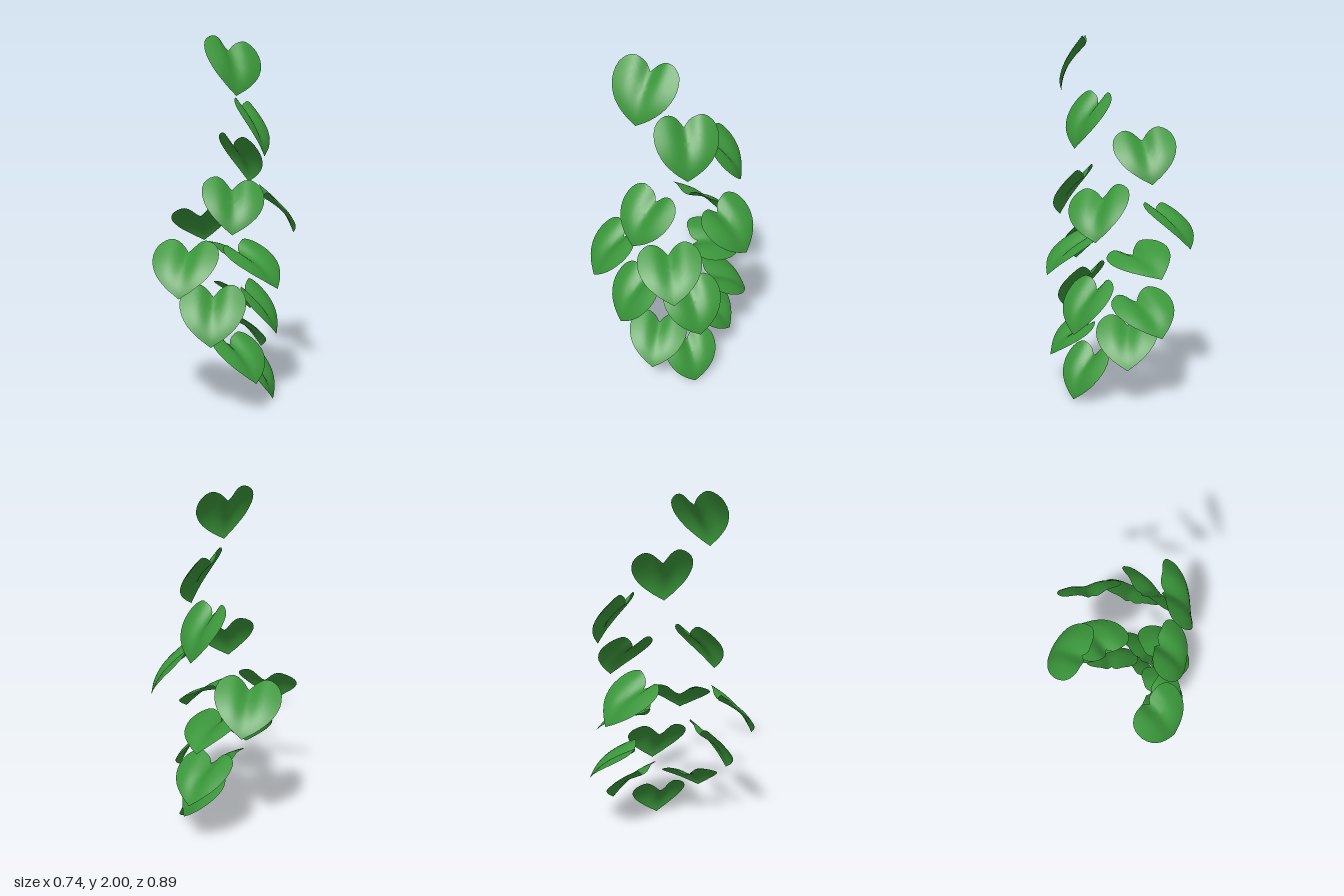
import * as THREE from 'three';

// Heart-shaped blade: tip at the origin, notch toward +y, upper face toward +z.
function heartLeafGeometry() {
  const half = [[0, 0], [0.07, 0.047], [0.133, 0.115], [0.165, 0.205], [0.15, 0.285], [0.095, 0.325], [0.04, 0.31], [0, 0.265]];
  const curve = new THREE.CatmullRomCurve3(half.map(([x, y]) => new THREE.Vector3(x, y, 0)));
  const right = curve.getPoints(20);
  const left = right.slice(1, -1).reverse().map((p) => new THREE.Vector3(-p.x, p.y, 0));
  const outline = [...right, ...left];
  const n = outline.length, rings = 8, cy = 0.18;

  // Two puffed halves with drooping tip and margins, and a valley that deepens toward the notch.
  const height = (u, v) =>
    0.037 * Math.sin(Math.PI * Math.max(0, v / 0.325) ** 0.8) - 0.6 * u * u
    - 0.045 * Math.exp(-((u / 0.05) ** 2)) * (v / 0.265);

  const pos = [0, cy, height(0, cy)], index = [];
  for (let r = 1; r <= rings; r++) {
    for (const p of outline) {
      const u = (p.x * r) / rings, v = cy + ((p.y - cy) * r) / rings;
      pos.push(u, v, height(u, v));
    }
  }
  for (let i = 0; i < n; i++) {
    const j = (i + 1) % n;
    index.push(0, 1 + i, 1 + j);
    for (let r = 1; r < rings; r++) {
      const a = 1 + (r - 1) * n, b = a + n;
      index.push(a + i, b + i, b + j, a + i, b + j, a + j);
    }
  }
  const geo = new THREE.BufferGeometry();
  geo.setAttribute('position', new THREE.Float32BufferAttribute(pos, 3));
  geo.setIndex(index);
  geo.computeVertexNormals();
  return geo;
}

// Each leaf: size, tip, then its left and right lobe tops as seen from its upper face.
const LEAVES = [
  [1.0, [0.10, 1.69, 0.28], [-0.02, 2.0, 0.215], [0.12, 1.97, 0.105]],
  [1.03, [0.22, 1.375, 0.055], [0.07, 1.70, 0.09], [0.11, 1.69, -0.095]],
  [1.0, [0.08, 1.20, -0.37], [0.09, 1.49, -0.155], [-0.075, 1.52, -0.285]],
  [1.01, [0.085, 0.985, 0.315], [-0.025, 1.305, 0.16], [0.15, 1.285, 0.10]],
  [1.02, [0.36, 0.92, -0.235], [0.22, 1.2, -0.03], [0.15, 1.235, -0.195]],
  [1.06, [-0.20, 0.83, -0.41], [-0.09, 1.07, -0.20], [-0.275, 1.07, -0.145]],
  [1.06, [-0.17, 0.67, 0.445], [-0.245, 0.94, 0.24], [-0.065, 0.95, 0.24]],
  [1.08, [0.31, 0.68, 0.185], [0.035, 0.905, 0.195], [0.135, 0.895, 0.005]],
  [1.04, [0.045, 0.705, -0.41], [0.065, 0.82, -0.09], [-0.1, 0.87, -0.125]],
  [1.07, [-0.02, 0.395, 0.36], [-0.13, 0.695, 0.20], [0.06, 0.70, 0.17]],
  [1.03, [0.08, 0.40, -0.445], [0.115, 0.60, -0.15], [-0.07, 0.62, -0.225]],
  [1.05, [0.29, 0.375, 0.0], [0.11, 0.655, 0.095], [0.13, 0.66, -0.11]],
  [1.01, [0.21, 0.18, 0.275], [-0.06, 0.46, 0.18], [0.09, 0.40, 0.03]],
  [1.03, [0.17, 0.21, -0.285], [0.065, 0.46, -0.07], [-0.055, 0.49, -0.2]],
  [0.98, [0.275, 0.0, 0.02], [0.13, 0.28, 0.09], [0.14, 0.29, -0.09]],
];

export function createModel() {
  const group = new THREE.Group();
  group.name = 'trailingLeaves';
  const geo = heartLeafGeometry();
  const green = new THREE.MeshStandardMaterial({ color: 0x3a963a, side: THREE.DoubleSide });

  LEAVES.forEach(([size, ...points], i) => {
    const [tip, left, right] = points.map((p) => new THREE.Vector3(...p));
    const along = left.clone().add(right).multiplyScalar(0.5).sub(tip).normalize();
    const across = right.clone().sub(left);
    const normal = across.clone().cross(along).normalize();
    across.crossVectors(along, normal);
    const leaf = new THREE.Mesh(geo, green);
    leaf.name = `leaf${i + 1}`;
    leaf.quaternion.setFromRotationMatrix(new THREE.Matrix4().makeBasis(across, along, normal));
    leaf.position.copy(tip);
    leaf.scale.setScalar(size);
    group.add(leaf);
  });
  return group;
}
